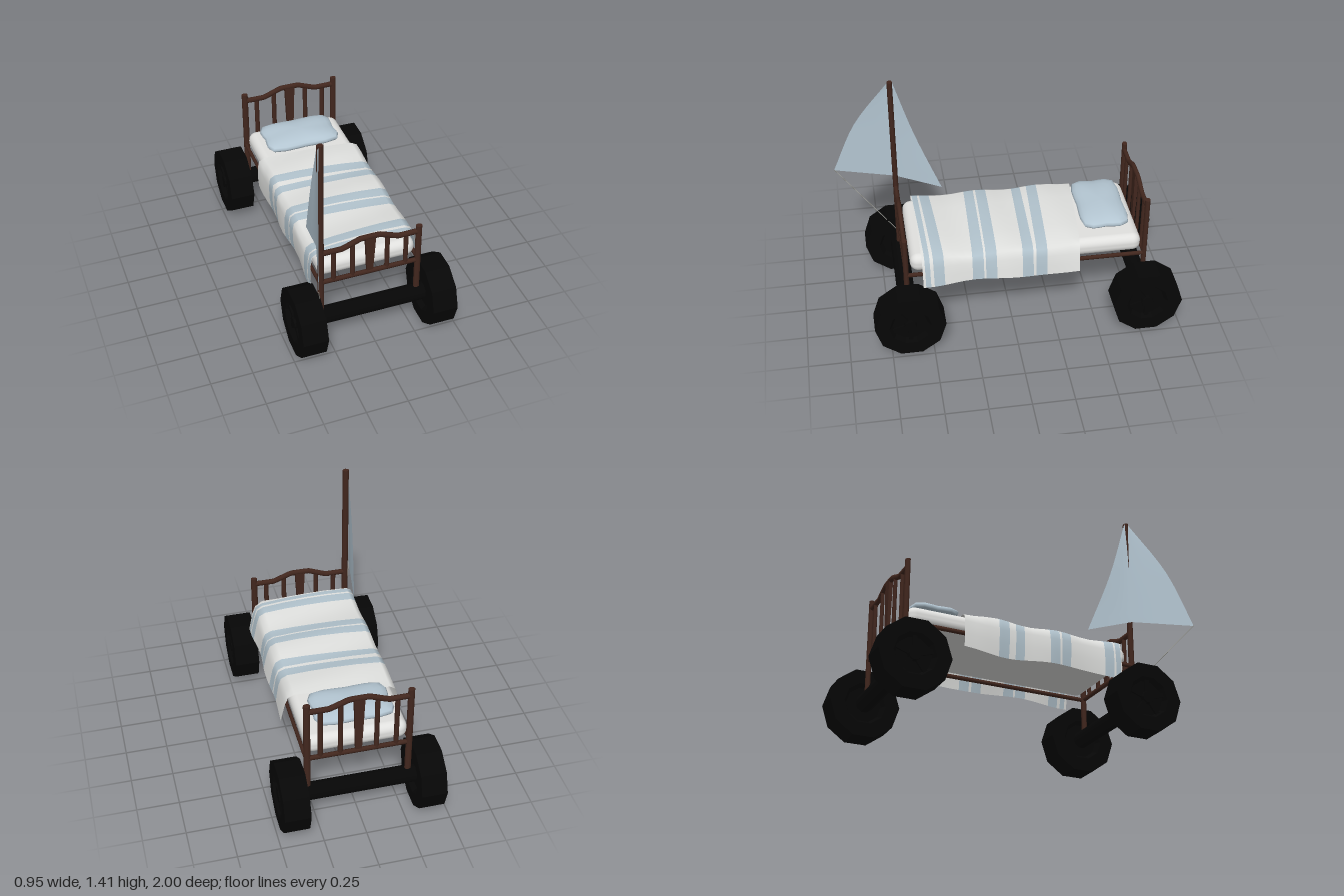
import * as THREE from 'three';
import { mergeVertices } from 'three/addons/utils/BufferGeometryUtils.js';
import { RoundedBoxGeometry } from 'three/addons/geometries/RoundedBoxGeometry.js';

const material = (name, color, side = THREE.FrontSide) => {
  const m = new THREE.MeshStandardMaterial({ color, side });
  m.name = name;
  return m;
};

// Smooth sheet from rows of points; bandOf(row) picks the material index
function sheet(rows, bandOf) {
  const cols = rows[0].length, index = [];
  const geo = new THREE.BufferGeometry().setFromPoints(rows.flat());
  for (let i = 0; i < rows.length - 1; i++) {
    if (bandOf) geo.addGroup(index.length, (cols - 1) * 6, bandOf(i));
    for (let j = 0; j < cols - 1; j++) {
      const a = i * cols + j, b = a + cols;
      index.push(a, b, a + 1, b, b + 1, a + 1);
    }
  }
  geo.setIndex(index);
  geo.computeVertexNormals();
  return geo;
}

const flat = (geo) => {
  const g = geo.index ? geo.toNonIndexed() : geo;
  g.computeVertexNormals();
  return g;
};

export function createModel() {
  const model = new THREE.Group();
  const wood = material('brown wood', 0x42271e);
  const rubber = material('black rubber', 0x060606);
  const linen = material('white linen', 0xe0e0de);
  const paleBlue = material('pale blue cloth', 0xb4c6d2, THREE.DoubleSide);
  const blanketWhite = material('blanket white', 0xdfe0de, THREE.DoubleSide);
  const blanketBlue = material('blanket blue', 0xb0c1cb, THREE.DoubleSide);
  const ropeGrey = material('rope grey', 0x9a9a94);

  const V = (x, y, z) => new THREE.Vector3(x, y, z);
  const add = (name, geo, mat, x = 0, y = 0, z = 0, parent = model) => {
    const mesh = new THREE.Mesh(geo, mat);
    mesh.name = name;
    mesh.position.set(x, y, z);
    parent.add(mesh);
    return mesh;
  };
  const rod = (name, a, b, r, mat, sides = 8, parent = model) => {
    const dir = b.clone().sub(a), mid = a.clone().add(b).multiplyScalar(0.5);
    const mesh = add(name, new THREE.CylinderGeometry(r, r, dir.length(), sides), mat, mid.x, mid.y, mid.z, parent);
    mesh.quaternion.setFromUnitVectors(V(0, 1, 0), dir.normalize());
    return mesh;
  };

  const FRONT = 0.635, BACK = -0.79, POST_X = 0.297;

  // Ten-sided wheels with recessed faces, hub and spokes
  const h = 0.076, R = 0.21;
  const tyre = flat(new THREE.LatheGeometry([
    [0, -h + 0.03], [0.105, -h + 0.03], [0.125, -h], [R, -h],
    [R, h], [0.125, h], [0.105, h - 0.03], [0, h - 0.03],
  ].map(([x, y]) => new THREE.Vector2(x, y)), 10));
  for (const z of [FRONT, BACK]) {
    rod('axle', V(-0.34, 0.203, z), V(0.34, 0.203, z), 0.053, rubber, 10);
    for (const side of [-1, 1]) {
      const wheel = new THREE.Group();
      wheel.name = 'wheel';
      wheel.position.set(side * 0.398, 0.202, z);
      wheel.rotation.z = -side * Math.PI / 2;
      model.add(wheel);
      add('tyre', tyre, rubber, 0, 0, 0, wheel);
      add('hub', flat(new THREE.CylinderGeometry(0.035, 0.04, 0.03, 10)), rubber, 0, h - 0.02, 0, wheel);
      for (let i = 0; i < 5; i++) {
        const a = i * Math.PI * 0.4;
        const spoke = add('spoke', new THREE.BoxGeometry(0.08, 0.016, 0.026), rubber,
          Math.cos(a) * 0.07, h - 0.024, Math.sin(a) * 0.07, wheel);
        spoke.rotation.y = -a;
      }
    }
  }

  // Headboard and footboard, built at z = 0 and thinned front to back
  function board(name, z, railY, leftTop, rightTop) {
    const g = new THREE.Group();
    g.name = name;
    g.position.z = z;
    g.scale.z = 0.8;
    model.add(g);
    rod('post', V(POST_X, 0.22, 0), V(POST_X, leftTop, 0), 0.02, wood, 8, g);
    rod('post', V(-POST_X, 0.22, 0), V(-POST_X, rightTop, 0), 0.02, wood, 8, g);
    const arch = new THREE.CatmullRomCurve3(
      [[-0.29, 0], [-0.17, 0], [-0.058, 0.042], [0.058, 0.042], [0.17, 0], [0.29, 0]]
        .map(([x, dy]) => V(x, railY + dy, 0)), false, 'catmullrom', 0.1);
    add('topRail', new THREE.TubeGeometry(arch, 30, 0.018, 8), wood, 0, 0, 0, g);
    rod('lowerRail', V(-POST_X, 0.457, 0), V(POST_X, 0.457, 0), 0.016, wood, 8, g);
    for (const [x, dy] of [[-0.22, 0], [-0.105, 0.024], [0.105, 0.024], [0.22, 0]])
      rod('slat', V(x, 0.455, 0), V(x, railY + dy, 0), 0.015, wood, 8, g);
    const len = railY + 0.04 - 0.455;
    const centre = new THREE.CylinderGeometry(0.044, 0.026, len, 4).rotateY(Math.PI / 4).scale(1, 1, 0.5);
    add('centreSlat', flat(centre), wood, 0, 0.455 + len / 2, 0, g);
  }
  board('headboard', BACK, 0.795, 0.843, 0.843);
  board('footboard', FRONT, 0.67, 0.71, 1.414);   // one foot post rises as the mast
  for (const s of [-1, 1])
    rod('sideRail', V(s * 0.303, 0.457, FRONT), V(s * 0.303, 0.457, BACK), 0.014, wood).scale.x = 0.8;

  // Mattress
  add('mattress', new RoundedBoxGeometry(0.596, 0.115, 1.38, 4, 0.05), linen, 0, 0.517, -0.083);

  // Pillow: coarse sphere squared off in plan, with pinched sides
  const pillow = new THREE.SphereGeometry(1, 24, 10);
  const p = pillow.attributes.position;
  for (let i = 0; i < p.count; i++) {
    const x = p.getX(i), y = p.getY(i), z = p.getZ(i), r = Math.hypot(x, z);
    if (r < 1e-4) { p.setXYZ(i, 0, y * 0.045, 0); continue; }
    const c = x / r, s = z / r;
    const k = r ** 0.85 / (Math.abs(c) ** 6 + Math.abs(s) ** 6) ** (1 / 6);
    const pinch = 1 - 0.05 * (1 - Math.abs(Math.sin(2 * Math.atan2(s, c))));
    p.setXYZ(i, c * k * 0.237 * pinch, y * 0.045, s * k * 0.147 * pinch);
  }
  pillow.deleteAttribute('normal');
  pillow.deleteAttribute('uv');
  const pillowGeo = mergeVertices(pillow);
  pillowGeo.computeVertexNormals();
  add('pillow', pillowGeo, paleBlue, -0.01, 0.617, -0.576);

  // Blanket: [z on right side, z on left side] of each band edge, white and blue in turn
  const edges = [[-0.45, -0.39], [-0.235, -0.197], [-0.172, -0.132], [-0.132, -0.115], [-0.078, -0.05],
    [0.085, 0.103], [0.148, 0.168], [0.162, 0.18], [0.22, 0.247], [0.44, 0.412], [0.5, 0.475],
    [0.512, 0.495], [0.545, 0.525], [0.55, 0.54]];
  const profile = [[-0.318, 0.36], [-0.326, 0.44], [-0.325, 0.52], [-0.316, 0.568], [-0.285, 0.588],
    [-0.14, 0.596], [0, 0.598], [0.14, 0.596], [0.275, 0.588], [0.312, 0.568], [0.33, 0.52],
    [0.342, 0.46], [0.352, 0.405]];
  const STEPS = 3, rows = [];
  const rowAt = (zr, zl) => profile.map(([x, y]) => {
    const z = zr + (zl - zr) * (x + 0.33) / 0.68;
    const drape = Math.max(0, 0.59 - y) / 0.2;
    const lift = y > 0.56 ? 0.008 * Math.sin(z * 16 + x * 3) : 0.01 * drape * Math.sin(z * 9);
    return V(x + Math.sign(x) * 0.007 * drape * Math.sin(z * 14 + 1), y + lift, z);
  });
  for (let b = 0; b < edges.length - 1; b++) {
    const [r0, l0] = edges[b], [r1, l1] = edges[b + 1];
    for (let k = 0; k < STEPS; k++)
      rows.push(rowAt(r0 + (r1 - r0) * k / STEPS, l0 + (l1 - l0) * k / STEPS));
  }
  rows.push(rowAt(...edges[edges.length - 1]));
  add('blanket', sheet(rows, (i) => Math.floor(i / STEPS) % 2), [blanketWhite, blanketBlue]);

  // Sail: two panels from the mast out to curved edges
  const fore = new THREE.CatmullRomCurve3([V(-0.308, 1.408, 0.645), V(-0.385, 1.09, 0.855), V(-0.435, 0.735, 1)]);
  const luff = new THREE.LineCurve3(V(-0.312, 1.408, FRONT), V(-0.322, 0.735, FRONT));
  const aft = new THREE.CatmullRomCurve3([V(-0.308, 1.408, 0.62), V(-0.308, 1.03, 0.505), V(-0.285, 0.645, 0.355)]);
  const sailRows = [];
  for (let i = 0; i <= 10; i++) {
    const [f, m, a] = [fore, luff, aft].map((curve) => curve.getPoint(i / 10));
    sailRows.push([f, f.clone().lerp(m, 0.5), m, m.clone().lerp(a, 0.5), a]);
  }
  add('sail', sheet(sailRows), paleBlue);
  rod('sailRope', V(-0.435, 0.737, 0.998), V(-0.3, 0.318, 0.63), 0.0025, ropeGrey, 6);

  return model;
}
